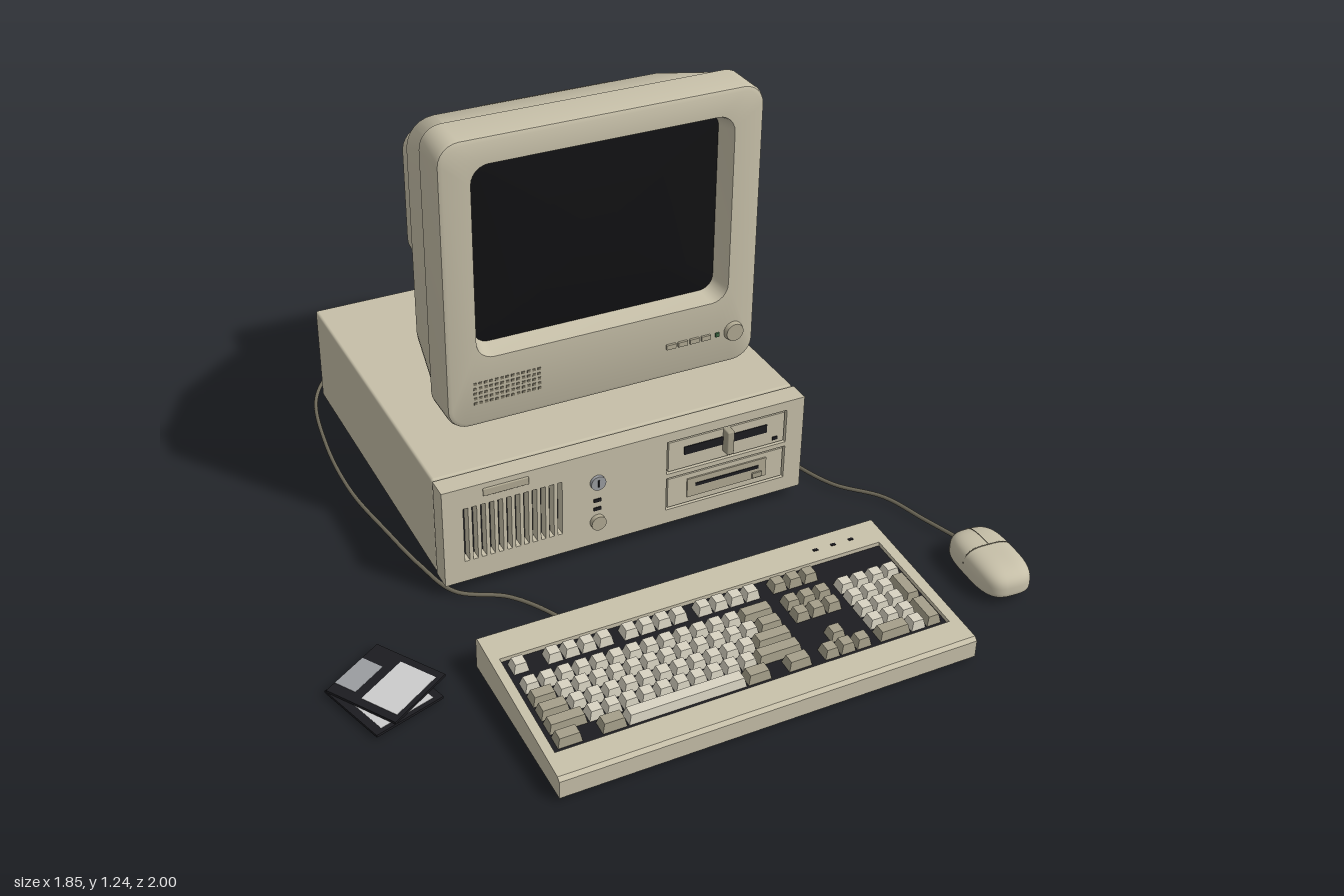
import * as THREE from 'three';
import { toCreasedNormals, mergeGeometries } from 'three/addons/utils/BufferGeometryUtils.js';
import { RoundedBoxGeometry } from 'three/addons/geometries/RoundedBoxGeometry.js';

const mat = (color) => new THREE.MeshStandardMaterial({ color });
const beige = mat(0xc6bfa8), trim = mat(0xb0a992), dark = mat(0x1c1c20), black = mat(0x111113);
const cap = mat(0xd6d1c0), capGrey = mat(0xa39d88), cordMat = mat(0x6e6959), slotMat = mat(0x7d7765);
const white = mat(0xd8d8dc), steel = mat(0x9a9ca0), green = mat(0x3f6b45);
const CX = 0.033; // centre line of monitor and case

function add(parent, name, geo, material, x = 0, y = 0, z = 0) {
  const m = new THREE.Mesh(geo, material);
  m.name = name;
  m.position.set(x, y, z);
  parent.add(m);
  return m;
}
const box = (p, name, w, h, d, x, y, z, m) => add(p, name, new THREE.BoxGeometry(w, h, d), m, x, y, z);
const rbox = (p, name, w, h, d, r, x, y, z, m) => add(p, name, new RoundedBoxGeometry(w, h, d, 2, r), m, x, y, z);
function group(parent, name) {
  const g = new THREE.Group();
  g.name = name;
  parent.add(g);
  return g;
}

// Skin through rounded rectangles [halfW, halfH, centreY, radius, z], capped at the end (and start if asked)
function loft(sections, capStart) {
  const seg = 6, n = 4 * (seg + 1), pos = [], idx = [];
  for (const [hw, hh, cy, r, z] of sections)
    for (let c = 0; c < 4; c++)
      for (let i = 0; i <= seg; i++) {
        const a = (c + i / seg) * Math.PI / 2;
        const sx = c === 0 || c === 3 ? 1 : -1, sy = c < 2 ? 1 : -1;
        pos.push(CX + sx * (hw - r) + r * Math.cos(a), cy + sy * (hh - r) + r * Math.sin(a), z);
      }
  const last = (sections.length - 1) * n;
  for (let s = 0; s < last; s += n)
    for (let j = 0; j < n; j++) {
      const a = s + j, b = s + (j + 1) % n;
      idx.push(a, a + n, b, b, a + n, b + n);
    }
  for (let j = 1; j < n - 1; j++) {
    idx.push(last, last + j + 1, last + j);
    if (capStart) idx.push(0, j, j + 1);
  }
  const g = new THREE.BufferGeometry();
  g.setAttribute('position', new THREE.Float32BufferAttribute(pos, 3));
  g.setIndex(idx);
  return toCreasedNormals(g, 0.5);
}

function rectPath(C, x0, y0, x1, y1) {
  const p = new C();
  p.moveTo(x0, y0); p.lineTo(x1, y0); p.lineTo(x1, y1); p.lineTo(x0, y1); p.closePath();
  return p;
}

function buildMonitor(root) {
  const g = group(root, 'monitor');
  // Bezel: from the screen edge, over the front, round to the back
  add(g, 'bezel', loft([
    [0.353, 0.263, 0.885, 0.04, -0.03], [0.362, 0.27, 0.885, 0.045, 0.0], [0.371, 0.277, 0.885, 0.05, 0.035],
    [0.444, 0.402, 0.82, 0.05, 0.035], [0.454, 0.412, 0.82, 0.058, 0.03], [0.458, 0.415, 0.82, 0.06, 0.02],
    [0.458, 0.415, 0.82, 0.06, -0.085], [0.44, 0.4, 0.82, 0.05, -0.085]]), beige);
  // Bulged glass
  const dome = [0.02, 0.35, 0.6, 0.8, 1].map((k) => [0.356 * k, 0.266 * k, 0.885, 0.042 * k, -0.005 - 0.02 * k * k]);
  add(g, 'screen', loft(dome, true), black);
  add(g, 'rearShell', loft([
    [0.445, 0.402, 0.82, 0.06, -0.08], [0.445, 0.406, 0.819, 0.06, -0.1], [0.405, 0.36, 0.785, 0.08, -0.33],
    [0.306, 0.262, 0.706, 0.09, -0.6], [0.297, 0.25, 0.704, 0.085, -0.615], [0.275, 0.228, 0.702, 0.07, -0.618]]), beige);
  add(g, 'tubeHousing', loft([
    [0.274, 0.221, 0.699, 0.065, -0.6], [0.264, 0.21, 0.697, 0.065, -0.775], [0.258, 0.205, 0.697, 0.06, -0.782]]), beige);
  // Cooling slots on the sloping top
  const vents = group(g, 'topVents');
  vents.position.set(CX, 1.077, -0.435);
  vents.rotation.x = -0.571;
  for (let i = -4; i <= 4; i++) box(vents, 'ventSlot', 0.38, 0.006, 0.01, 0, 0, i * 0.028, slotMat);
  // Speaker, buttons, lamp and dial
  const dots = [];
  for (let i = 0; i < 13; i++)
    for (let j = 0; j < 5; j++) dots.push(new THREE.BoxGeometry(0.009, 0.007, 0.003).translate(-0.346 + i * 0.0153, 0.477 + j * 0.015, 0.0355));
  add(g, 'speakerHoles', mergeGeometries(dots), slotMat);
  for (let i = 0; i < 4; i++) box(g, 'button', 0.028, 0.014, 0.01, 0.23 + i * 0.036, 0.505, 0.037, trim);
  box(g, 'powerLamp', 0.012, 0.012, 0.006, 0.374, 0.505, 0.037, green);
  add(g, 'dial', new THREE.CylinderGeometry(0.026, 0.03, 0.016, 24).rotateX(Math.PI / 2), trim, 0.425, 0.505, 0.04);
  // Swivel stand
  for (const [rx, rz, y0, y1] of [[0.285, 0.258, 0.335, 0.363], [0.185, 0.163, 0.363, 0.39], [0.135, 0.11, 0.39, 0.44]]) {
    const h = (y1 - y0) / 2;
    const prof = [[0, -h], [0.98, -h], [1, -h * 0.5], [1, h * 0.4], [0.97, h], [0, h]].map((p) => new THREE.Vector2(...p));
    const geo = toCreasedNormals(new THREE.LatheGeometry(prof, 48).scale(rx, 1, rz), 0.5);
    add(g, 'swivelDisc', geo, beige, CX, (y0 + y1) / 2, -0.38);
  }
}

function buildCase(root) {
  const g = group(root, 'computerCase');
  rbox(g, 'caseBody', 1.085, 0.3, 0.97, 0.008, CX, 0.185, -0.365, beige);
  box(g, 'caseSeam', 1.065, 0.285, 0.03, CX, 0.185, 0.125, trim);
  box(g, 'caseUnderside', 1.06, 0.004, 0.94, CX, 0.034, -0.365, slotMat);
  // Front panel with cut-outs for vents and drive bays
  const s = rectPath(THREE.Shape, -0.51, 0.035, 0.575, 0.335);
  for (let i = 0; i < 12; i++) s.holes.push(rectPath(THREE.Path, -0.452 + i * 0.0245, 0.1, -0.438 + i * 0.0245, 0.27));
  const bays = [[0.2, 0.306], [0.08, 0.186]];
  for (const [y0, y1] of bays) s.holes.push(rectPath(THREE.Path, 0.145, y0, 0.52, y1));
  add(g, 'frontPanel', new THREE.ExtrudeGeometry(s, { depth: 0.062, bevelEnabled: false }), beige, 0, 0, 0.128);
  box(g, 'panelBacking', 1.04, 0.27, 0.02, CX, 0.185, 0.15, dark);
  for (const [y0, y1] of bays) box(g, 'driveFace', 0.363, y1 - y0 - 0.012, 0.035, 0.3325, (y0 + y1) / 2, 0.17, beige);
  // Upper drive: slot and latch
  box(g, 'diskSlot', 0.26, 0.026, 0.004, 0.328, 0.262, 0.188, dark);
  rbox(g, 'driveLatch', 0.022, 0.075, 0.03, 0.004, 0.33, 0.264, 0.2, capGrey);
  box(g, 'driveLamp', 0.016, 0.01, 0.005, 0.485, 0.222, 0.188, dark);
  // Lower drive: raised frame with slot and eject button
  box(g, 'driveInset', 0.25, 0.06, 0.008, 0.335, 0.135, 0.188, trim);
  box(g, 'diskSlot', 0.2, 0.01, 0.004, 0.335, 0.142, 0.192, dark);
  box(g, 'ejectButton', 0.03, 0.016, 0.008, 0.43, 0.118, 0.193, capGrey);
  // Blank badge plate, key lock, lamps and power button
  rbox(g, 'badgePlate', 0.13, 0.024, 0.008, 0.003, -0.33, 0.307, 0.19, trim);
  const round = (r, d) => new THREE.CylinderGeometry(r, r, d, 24).rotateX(Math.PI / 2);
  add(g, 'keyLock', round(0.022, 0.014), steel, -0.065, 0.24, 0.193);
  box(g, 'keySlot', 0.005, 0.022, 0.003, -0.065, 0.24, 0.2, dark);
  for (const y of [0.18, 0.152]) box(g, 'statusLamp', 0.022, 0.01, 0.006, -0.065, y, 0.19, dark);
  add(g, 'powerButton', round(0.022, 0.02), trim, -0.065, 0.11, 0.194);
  for (const x of [-0.44, 0.506])
    for (const z of [0.05, -0.78]) add(g, 'foot', new THREE.CylinderGeometry(0.03, 0.027, 0.022, 20), black, x, 0.026, z);
}

// Key cap: a box with its top drawn in
function keyGeometry(w, d) {
  const g = new THREE.BoxGeometry(w, 0.026, d), p = g.attributes.position;
  for (let i = 0; i < p.count; i++)
    if (p.getY(i) > 0) p.setXYZ(i, p.getX(i) - Math.sign(p.getX(i)) * 0.006, p.getY(i), p.getZ(i) - Math.sign(p.getZ(i)) * 0.006);
  g.computeVertexNormals();
  return g;
}

function buildKeyboard(root) {
  const g = group(root, 'keyboard');
  const slope = 0.075, top = (z) => 0.106 - (z - 0.49) * slope;
  // Side profiles extruded across: solid ends, and a middle with the key well
  const slab = (name, x0, x1, well) => {
    const pts = [[0.49, 0.01], [0.995, 0.01], [0.995, 0.06], [0.985, top(0.985)]];
    if (well) pts.push([0.915, top(0.915)], [0.915, top(0.915) - 0.022], [0.585, top(0.585) - 0.022], [0.585, top(0.585)]);
    pts.push([0.498, top(0.498)], [0.49, 0.098]);
    const shape = new THREE.Shape(pts.map((p) => new THREE.Vector2(...p)));
    add(g, name, new THREE.ExtrudeGeometry(shape, { depth: x1 - x0, bevelEnabled: false }).rotateY(-Math.PI / 2), beige, x1);
  };
  slab('leftOrRightEnd', -0.545, -0.52, false);
  slab('keyboardBody', -0.52, 0.585, true);
  slab('leftOrRightEnd', 0.585, 0.615, false);
  box(g, 'underside', 1.13, 0.004, 0.48, 0.035, 0.009, 0.742, slotMat);
  for (const x of [-0.495, 0.565]) box(g, 'gripStrip', 0.085, 0.006, 0.46, x, 0.008, 0.742, black);
  const tilt = Math.atan(slope);
  box(g, 'keyWell', 1.104, 0.01, 0.33, 0.0325, top(0.75) - 0.016, 0.75, dark).rotation.x = tilt;
  for (const x of [0.41, 0.465, 0.52]) box(g, 'lockLamp', 0.014, 0.004, 0.008, x, top(0.545), 0.545, dark);
  // Rows of keys: [left edge, width in units, count, depth in units]
  const u = 0.0465, nav = [0.225, 1, 3], num = [0.387, 1, 3];
  const rows = [
    [0.62, [[-0.507, 1, 1], [-0.415, 1, 4], [-0.205, 1, 4], [0.005, 1, 4], nav]],
    [0.69, [[-0.507, 1, 13], [0.0975, 2, 1], nav, [0.387, 1, 4]]],
    [0.7375, [[-0.507, 1.5, 1], [-0.437, 1, 12], [0.121, 1.5, 1], nav, num, [0.5265, 1, 1, 2]]],
    [0.785, [[-0.507, 1.75, 1], [-0.4256, 1, 11], [0.086, 2.25, 1], num]],
    [0.8325, [[-0.507, 2.25, 1], [-0.402, 1, 10], [0.063, 2.75, 1], [0.2715, 1, 1], num, [0.5265, 1, 1, 2]]],
    [0.88, [[-0.507, 1.5, 1], [-0.39, 1.5, 1], [-0.32, 7, 1], [0.0055, 1.5, 1], [0.121, 1.5, 1], nav, [0.387, 2, 1], [0.48, 1, 1]]]];
  for (const [z, runs] of rows)
    for (const [x, w, n, d = 1] of runs)
      for (let i = 0; i < n; i++) {
        const kz = z + (d - 1) * 0.02375;
        const light = w === 7 || (w === 1 && d === 1 && (x < 0.2 || x > 0.38));
        add(g, 'key', keyGeometry(w * u - 0.005, d * 0.0475 - 0.007), light ? cap : capGrey,
          x + (i + 0.5) * w * u, top(kz) + 0.002, kz).rotation.x = tilt;
      }
}

function buildMouse(root) {
  const g = group(root, 'mouse');
  g.position.set(0.848, 0.036, 0.727);
  g.rotation.y = -0.06;
  // Sphere squared off by a power, flattened underneath
  const e = 0.62, a = 0.076, b = 0.127, h = 0.06;
  const geo = new THREE.SphereGeometry(1, 40, 28), p = geo.attributes.position;
  const pw = (v) => Math.sign(v) * Math.abs(v) ** e;
  for (let i = 0; i < p.count; i++) {
    const y = p.getY(i);
    p.setXYZ(i, a * pw(p.getX(i)), pw(y) * (y > 0 ? h : 0.026), b * pw(p.getZ(i)));
  }
  geo.computeVertexNormals();
  add(g, 'mouseBody', geo, beige);
  // Button seams follow the shell
  const on = (x, z) => new THREE.Vector3(x, h * Math.max(0, 1 - Math.abs(x / a) ** (2 / e) - Math.abs(z / b) ** (2 / e)) ** (e / 2), z);
  const cross = [], split = [];
  for (let i = 0; i <= 16; i++) {
    cross.push(on((i / 8 - 1) * a * 0.995, -0.012));
    split.push(on(0, -0.012 - i / 16 * 0.114));
  }
  for (const pts of [cross, split])
    add(g, 'buttonSeam', new THREE.TubeGeometry(new THREE.CatmullRomCurve3(pts), 40, 0.0015, 5), slotMat);
}

function buildCords(root) {
  const cord = (name, pts) => {
    const curve = new THREE.CatmullRomCurve3(pts.map(([x, z, y = 0.014]) => new THREE.Vector3(x, y, z)));
    add(root, name, new THREE.TubeGeometry(curve, 120, 0.006, 8), cordMat);
  };
  cord('mouseCord', [[0.862, 0.63, 0.03], [0.86, 0.59, 0.02], [0.825, 0.46], [0.78, 0.32], [0.68, 0.2], [0.62, 0], [0.614, -0.19],
    [0.635, -0.4], [0.645, -0.61], [0.612, -0.85], [0.52, -0.97], [0.43, -0.992], [0.28, -0.992]]);
  cord('keyboardCord', [[-0.26, 0.51, 0.02], [-0.275, 0.4, 0.006], [-0.36, 0.27, 0.008], [-0.485, 0.195], [-0.53, 0.05], [-0.56, -0.13],
    [-0.588, -0.35], [-0.578, -0.61], [-0.525, -0.87], [-0.445, -0.98], [-0.365, -0.994], [-0.21, -0.99]]);
}

function buildDisks(root) {
  for (const [x, z, y, turn] of [[-0.792, 0.49, 0.011, 0.3], [-0.776, 0.462, 0.019, 0.57]]) {
    const g = group(root, 'floppyDisk');
    g.position.set(x, y, z);
    g.rotation.y = turn;
    box(g, 'diskShell', 0.205, 0.007, 0.215, 0, 0, 0, dark);
    box(g, 'diskShutter', 0.11, 0.009, 0.065, -0.015, 0, -0.074, steel);
    box(g, 'diskLabel', 0.16, 0.002, 0.11, 0, 0.0035, 0.04, white);
  }
}

export function createModel() {
  const root = new THREE.Group();
  root.name = 'desktopComputer';
  for (const build of [buildMonitor, buildCase, buildKeyboard, buildMouse, buildCords, buildDisks]) build(root);
  return root;
}
